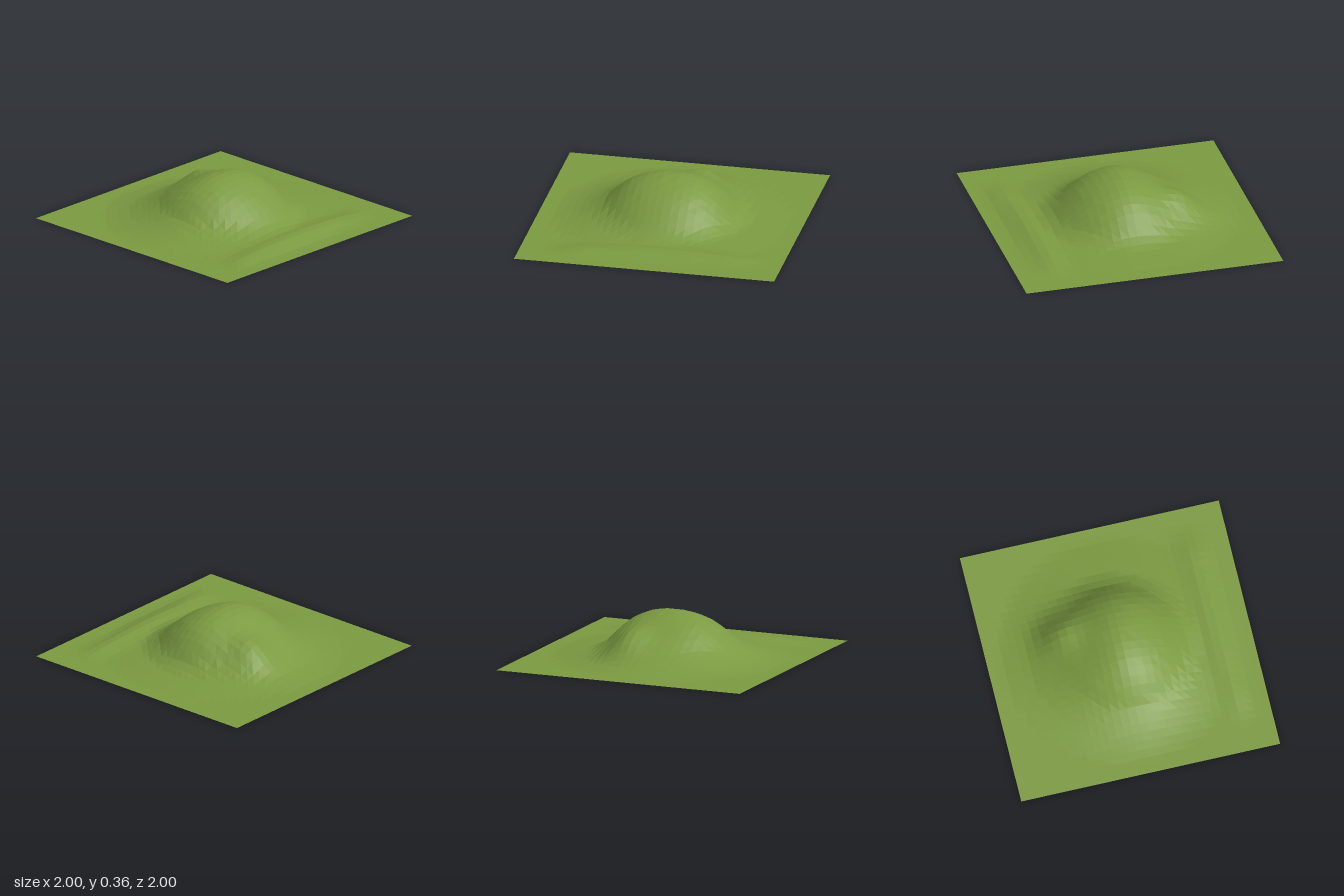
import * as THREE from 'three';

// Height against distance from the summit (steps of 0.1) in four directions
const SLOPES = {
  east: [0.355, 0.35, 0.325, 0.28, 0.2, 0.09, 0.033, 0.022, 0.01, 0],
  west: [0.355, 0.35, 0.325, 0.285, 0.215, 0.12, 0.07, 0.036, 0.012, 0],
  front: [0.355, 0.34, 0.3, 0.245, 0.165, 0.08, 0.03, 0.018, 0.008, 0],
  back: [0.355, 0.34, 0.295, 0.24, 0.185, 0.125, 0.075, 0.036, 0.016, 0],
};

function sample(profile, r) {
  const i = Math.floor(r * 10);
  const at = (k) => profile[k] ?? 0;
  return THREE.MathUtils.lerp(at(i), at(i + 1), r * 10 - i);
}

const bump = (d, width) => Math.exp(-((d / width) ** 2));

function heightAt(x, z) {
  // Main mound: blend the slopes by direction
  const r = Math.hypot(x, z);
  const c2 = r > 0 ? (x / r) ** 2 : 1;
  const sideways = sample(x > 0 ? SLOPES.east : SLOPES.west, r);
  const lengthways = sample(z > 0 ? SLOPES.front : SLOPES.back, r);
  let y = c2 * sideways + (1 - c2) * lengthways;

  // Shoulder behind the summit
  y += 0.08 * bump(Math.hypot(x - 0.18, z + 0.44), 0.15);

  // Low bank along the front
  const taper = 1 - THREE.MathUtils.smoothstep(Math.abs(x - 0.03), 0.5, 0.85);
  y += 0.032 * taper * bump(z - 0.73 + 0.05 * x, 0.1);

  // Level border
  const edge = Math.max(Math.abs(x), Math.abs(z));
  return y * (1 - THREE.MathUtils.smoothstep(edge, 0.82, 0.95));
}

export function createModel() {
  const grass = new THREE.MeshStandardMaterial({
    name: 'grass', color: 0x7b9a41, flatShading: true, side: THREE.DoubleSide,
  });

  // Square ground sheet raised into a hill
  const geometry = new THREE.PlaneGeometry(2, 2, 32, 32).rotateX(-Math.PI / 2);
  const position = geometry.attributes.position;
  for (let i = 0; i < position.count; i++) {
    position.setY(i, heightAt(position.getX(i), position.getZ(i)));
  }
  geometry.computeVertexNormals();

  const hill = new THREE.Mesh(geometry, grass);
  hill.name = 'grassyHill';
  const group = new THREE.Group();
  group.name = 'hillTerrain';
  group.add(hill);
  return group;
}
